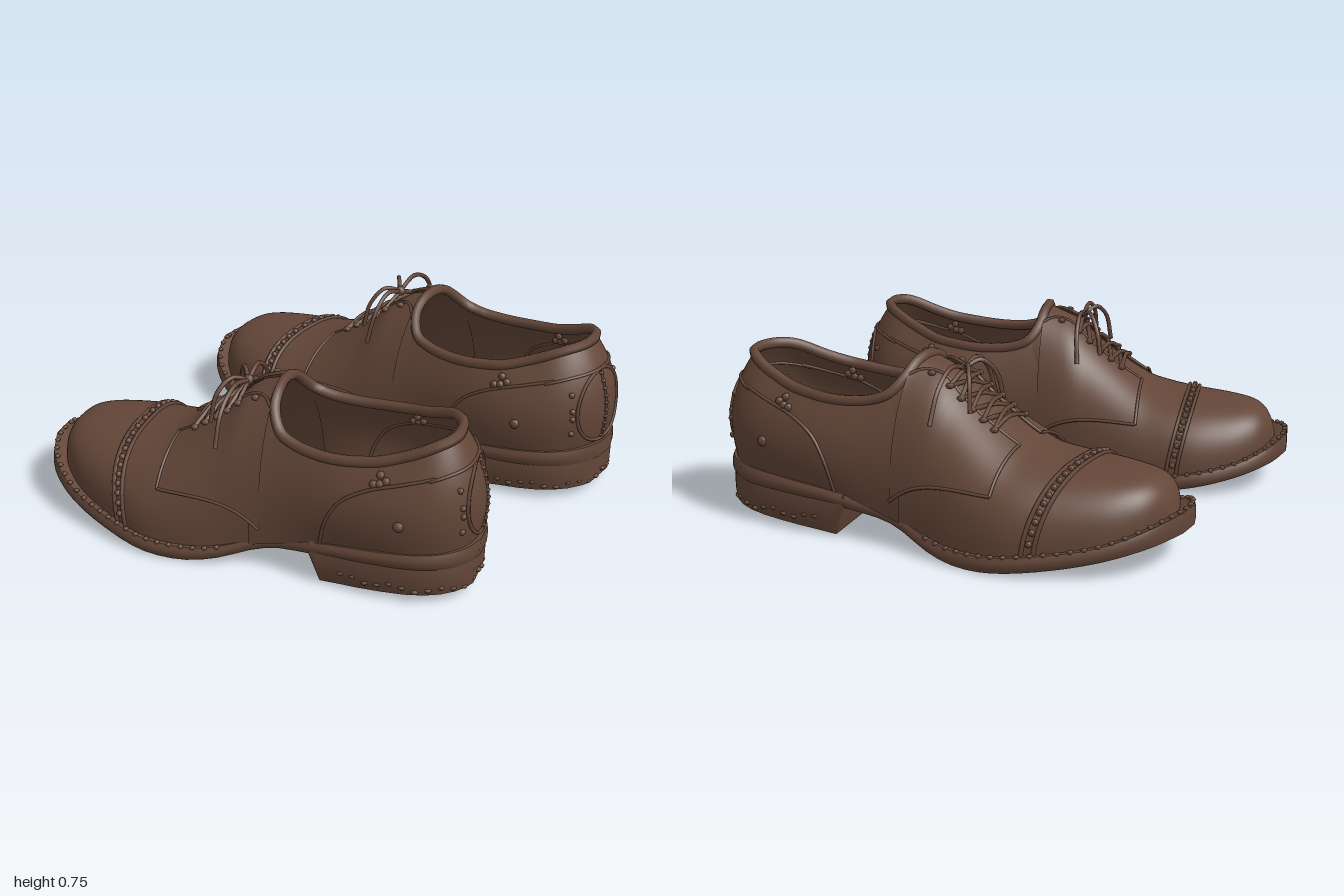
import * as THREE from 'three';
import { mergeGeometries, toCreasedNormals } from 'three/addons/utils/BufferGeometryUtils.js';

const V = (x, y, z) => new THREE.Vector3(x, y, z);
const PI = Math.PI;

// Footprint of one shoe: z, inner edge x, outer edge x
const OUTLINE = [[-1, .42, .56], [-.95, .31, .68], [-.88, .24, .76], [-.78, .185, .83], [-.6, .135, .91],
  [-.4, .14, .97], [-.2, .18, .965], [0, .23, .935], [.2, .28, .92], [.4, .31, .925], [.6, .33, .935],
  [.78, .38, .925], [.9, .45, .88], [.97, .54, .81], [1, .62, .74]];
const SOLE_TOP = [[-1, .23], [-.8, .145], [-.6, .1], [-.3, .065], [-.1, .075], [.1, .135], [.35, .19], [.6, .22], [1, .25]];
const SOLE_BOTTOM = [[-1, .145], [-.75, .07], [-.5, .022], [-.25, 0], [-.08, .025], [.1, .085], [.3, .125], [.45, .15], [1, .175]];
const RIDGE = [[-.945, .2], [-.93, .26], [-.9, .31], [-.85, .343], [-.75, .36], [-.55, .375], [-.45, .39], [-.35, .42],
  [-.2, .52], [-.1, .6], [-.02, .675], [.05, .705], [.12, .735]];
const COLLAR = [[.1, .65], [.17, .61], [.25, .58], [.4, .57], [.6, .595], [.8, .64], [.94, .685], [1, .695]];
const COLLAR_INSET = [[.1, .15], [.2, .09], [.4, .05], [.6, .06], [.8, .09], [1, .095]];

// Smooth interpolation through a small table
function at(table, z, col = 1) {
  const n = table.length - 1;
  z = THREE.MathUtils.clamp(z, table[0][0], table[n][0]);
  let i = 0;
  while (i < n - 1 && z > table[i + 1][0]) i++;
  const slope = k => {
    const a = table[Math.max(k - 1, 0)], b = table[Math.min(k + 1, n)];
    return (b[col] - a[col]) / (b[0] - a[0]);
  };
  const p = table[i], q = table[i + 1], d = q[0] - p[0], t = (z - p[0]) / d, t2 = t * t, t3 = t2 * t;
  return (2 * t3 - 3 * t2 + 1) * p[col] + (t3 - 2 * t2 + t) * d * slope(i)
    + (3 * t2 - 2 * t3) * q[col] + (t3 - t2) * d * slope(i + 1);
}
const mid = z => (at(OUTLINE, z, 1) + at(OUTLINE, z, 2)) / 2;
const half = z => (at(OUTLINE, z, 2) - at(OUTLINE, z, 1)) / 2;

// Skin over rows of points; solid closes each row into a ring and caps the ends
function loft(rows, solid = false) {
  const m = rows[0].length, pos = rows.flat().flatMap(p => [p.x, p.y, p.z]), idx = [];
  for (let i = 0; i < rows.length - 1; i++) for (let j = 0; j < (solid ? m : m - 1); j++) {
    const k = (j + 1) % m, a = i * m + j, b = i * m + k, c = a + m, d = b + m;
    idx.push(a, b, c, b, d, c);
  }
  const e = (rows.length - 1) * m;
  if (solid) for (let j = 1; j < m - 1; j++) idx.push(0, j + 1, j, e, e + j, e + j + 1);
  const g = new THREE.BufferGeometry();
  g.setAttribute('position', new THREE.Float32BufferAttribute(pos, 3));
  g.setIndex(idx);
  g.computeVertexNormals();
  return g;
}
const range = (n, f) => Array.from({ length: n + 1 }, (_, i) => f(i / n));
const cord = (pts, r, closed = false) => new THREE.TubeGeometry(
  new THREE.CatmullRomCurve3(pts, closed), pts.length * (closed ? 3 : 4), r, 6, closed);
const studs = (pts, r, flat = 1) => mergeGeometries(pts.map(p =>
  new THREE.SphereGeometry(r, 6, 4).scale(1, flat, 1).translate(p.x, p.y, p.z)));

// Point on the vamp: angle 0 is the outer side, PI the inner side; the toe is fuller than the instep
function vamp(z, a, off = 0) {
  const zz = z < -.4 ? -.4 + (z + .4) * (.6 / .545) : z;
  const base = at(SOLE_TOP, z) - .015, c = Math.cos(a);
  const e = THREE.MathUtils.mapLinear(THREE.MathUtils.clamp(z, -.5, -.1), -.5, -.1, .8, .93);
  return V(mid(zz) + Math.sign(c) * Math.pow(Math.abs(c), e) * (half(zz) - .03 + off),
    base + (at(RIDGE, z) - base + off) * Math.pow(Math.max(Math.sin(a), 0), e), z);
}
// Rear end of the vamp, curved like a U around the throat
const throatZ = a => .115 + .07 * Math.cos(a) ** 2;

// Point on the rear quarters, rising from footprint point (x, z); v runs from sole to collar
function quarter(x, z, v, off = 0) {
  const dir = V(mid(z) - x, 0, Math.min(z, .6) - z).normalize();
  const bulge = .005 + .025 * THREE.MathUtils.smoothstep(z, .1, .5);
  const inset = .024 + at(COLLAR_INSET, z) * Math.pow(v, 2.4) - bulge * Math.sin(PI * v) - off;
  const y0 = at(SOLE_TOP, z) - .015;
  return V(x, y0 + (at(COLLAR, z) - y0) * v, z).addScaledVector(dir, inset);
}
const outer = (z, v, off) => quarter(at(OUTLINE, z, 2), z, v, off);
const inner = (z, v, off) => quarter(at(OUTLINE, z, 1), z, v, off);

// Footprint paths: around the heel, and the whole edge
const rearZ = [.07, .12, .2, .3, .4, .5, .6, .7, .78, .85, .9, .94, .97, 1];
const heelPath = new THREE.CatmullRomCurve3([
  ...rearZ.map(z => V(at(OUTLINE, z, 1), 0, z)), ...[...rearZ].reverse().map(z => V(at(OUTLINE, z, 2), 0, z))]);
const edgePath = new THREE.CatmullRomCurve3([
  ...OUTLINE.map(r => V(r[1], 0, r[0])), ...[...OUTLINE].reverse().map(r => V(r[2], 0, r[0]))], true);
const heelPoint = (s, v, off) => { const p = heelPath.getPointAt(s); return quarter(p.x, p.z, v, off); };

function makeShoe(material, mirrored) {
  const shoe = new THREE.Group();
  const add = (name, g, crease = 0) => {
    g.translate(-.585, 0, 0);
    if (mirrored) {
      g.scale(-1, 1, 1);
      const ix = g.index;
      for (let i = 0; i < ix.count; i += 3) {
        const t = ix.getX(i + 1);
        ix.setX(i + 1, ix.getX(i + 2));
        ix.setX(i + 2, t);
      }
    }
    const mesh = new THREE.Mesh(crease ? toCreasedNormals(g, crease) : g, material);
    mesh.name = name;
    shoe.add(mesh);
  };

  // Sole with rounded edge
  const slab = (z, b, t, inset) => {
    const l = at(OUTLINE, z, 1) + inset, r = at(OUTLINE, z, 2) - inset, h = t - b, k = .012;
    return [V(l + k, b, z), V(r - k, b, z), V(r, b + h * .3, z), V(r, b + h * .7, z),
      V(r - k, t, z), V(l + k, t, z), V(l, b + h * .7, z), V(l, b + h * .3, z)];
  };
  add('sole', loft(range(48, t => {
    const z = -Math.cos(PI * t), waist = .035 * Math.exp(-(((z - .15) / .16) ** 2));
    return slab(z, at(SOLE_BOTTOM, z), at(SOLE_TOP, z), waist);
  }), true), .7);

  // Heel block with slanted front, set further back on the inner side
  add('heel', loft([.33, .375, .45, .55, .65, .74, .82, .88, .93, .965, .985].map(z => {
    const ring = slab(z, z < .36 ? .125 : .01 + (z - .375) * .066, .2, .01);
    const back = .19 * Math.max(0, .65 - z);
    ring.forEach(p => { p.z += back * (1 - (p.x - mid(z)) / half(z)); });
    return ring;
  }), true), .7);
  add('heelNails', studs(range(24, s => {
    const p = heelPath.getPointAt(.22 + .6 * s);
    return V(p.x, .068 + .012 * Math.sin(s * 40), p.z).addScaledVector(V(mid(p.z) - p.x, 0, .6 - p.z).normalize(), .018);
  }), .016, .6));

  // Stitching around the welt
  add('weltStitches', studs(range(90, s => {
    const p = edgePath.getPointAt(s * .995);
    return V(p.x, at(SOLE_TOP, p.z), p.z).addScaledVector(V(mid(p.z) - p.x, 0, -p.z * .6).normalize(), .018);
  }).filter(p => p.z < -.05), .013, .7));

  // Vamp and toe
  add('vamp', loft(range(44, t => range(32, s =>
    vamp(-.945 + (throatZ(PI * s) + .945) * Math.pow(t, 1.7), PI * s)))));

  // Rear quarters, collar rim and insole
  add('quarters', loft(range(14, v => range(64, s => heelPoint(s, v)))));
  const throat = [.35, .42, .5, .58, .65].map(k => vamp(throatZ(PI * k), PI * k));
  add('collarRim', cord([...range(28, s => heelPoint(.05 + .9 * s, 1)), ...throat], .023, true));
  add('insole', loft(range(24, t => {
    const z = -.3 + 1.25 * Math.sin(t * PI / 2), y = at(SOLE_TOP, z) + .012;
    return [V(at(OUTLINE, z, 2) - .04, y, z), V(at(OUTLINE, z, 1) + .04, y, z)];
  })));

  // Toe cap seam with studs between two cords
  const seam = (z, a) => z - .06 * Math.sin(a);
  for (const z of [-.485, -.53]) add('toeCapSeam', cord(range(20, s => vamp(seam(z, PI * s), PI * s, .003)), .009));
  add('toeCapStuds', studs(range(24, s => vamp(seam(-.508, PI * s), PI * s, .005)), .014));

  // Lace facings on both sides of the tongue
  const GAP = [[-.33, .075], [-.1, .09], [0, .08], [.06, .095], [.115, .15]];
  const LOW = [[-.34, .27], [-.1, .28], [.03, .25], [.115, .2]];
  const facing = (z, s, side) => {
    const base = at(SOLE_TOP, z), top = PI / 2 - Math.asin(at(GAP, z) / half(z));
    const low = Math.asin(Math.min(.9, (at(LOW, z) - base) / (at(RIDGE, z) - base)));
    const a = low + (top - low) * s;
    return vamp(z, side > 0 ? a : PI - a, .014);
  };
  for (const side of [1, -1]) {
    add('laceFacing', loft(range(16, t => range(12, s => facing(-.34 + .455 * t, side > 0 ? s : 1 - s, side)))));
    for (const s of [0, 1]) add('facingEdge', cord(range(10, t => facing(-.34 + .455 * t, s, side)), .007));
    add('facingFrontEdge', cord(range(8, s => facing(-.34, s, side)), .007));
  }

  // Eyelets and crossed laces
  const rows = [-.25, -.2, -.15, -.1, -.05];
  const hole = (z, side, off = .024) => {
    const k = Math.acos(.11 / half(z));
    return vamp(z, side > 0 ? k : PI - k, off);
  };
  add('eyelets', studs([...rows, .03].flatMap(z => [hole(z, 1), hole(z, -1)]), .018, .7));
  rows.forEach((z, i) => {
    const next = rows[i + 1];
    if (next === undefined || i === 0) add('lace', cord([hole(z, 1), vamp(z, PI / 2, .035), hole(z, -1)], .01));
    if (next !== undefined) for (const s of [1, -1])
      add('lace', cord([hole(z, s), vamp((z + next) / 2, PI / 2, .025 + s * .006), hole(next, -s)], .01));
  });

  // Bow with loose ends
  const knot = vamp(-.05, PI / 2, .045);
  add('laceKnot', studs([knot], .024));
  const from = (...d) => [knot, ...d.map(q => V(knot.x + q[0], knot.y + q[1], knot.z + q[2]))];
  [from([.12, .03, -.01], [.24, -.03, -.02], [.31, -.16, -.02]),
    from([-.1, .025, 0], [-.19, -.04, 0], [-.24, -.17, -.01]),
    from([.06, .03, -.05], [.12, -.02, -.09], [.15, -.14, -.11]),
    from([-.06, .025, -.04], [-.12, -.04, -.08], [-.14, -.15, -.1])].forEach(p => add('laceEnd', cord(p, .01)));

  // Heel counter: side seams, rear patch, stitches and rivets
  for (const f of [outer, inner])
    add('counterSeam', cord([f(.38, .04, .002), f(.41, .35, .002), f(.47, .6, .002), f(.58, .74, .002),
      f(.74, .78, .002), f(.88, .78, .002)], .007));
  add('counterTopSeam', cord(range(14, s => heelPoint(.36 + .28 * s, .77, .002)), .007));
  add('heelPatch', cord(range(24, s => heelPoint(.5 + .075 * Math.cos(2 * PI * s), .41 + .36 * Math.sin(2 * PI * s), .002)).slice(0, -1), .008, true));
  add('backSeam', cord(range(10, s => heelPoint(.5, .05 + .7 * s, .002)), .006));
  add('backStitches', studs(range(9, s => heelPoint(.5, .08 + .65 * s)), .014, .6));
  add('patchStuds', studs([-1, 1].flatMap(s => [.22, .38, .46, .62].map(v => heelPoint(.5 + s * .085, v))), .014));
  for (const f of [outer, inner]) {
    add('rivet', studs([f(.72, .37, -.008)], .025));
    add('collarTab', studs([f(.6, .8), f(.63, .8), f(.66, .82), f(.63, .88)], .018));
  }
  return shoe;
}

export function createModel() {
  const leather = new THREE.MeshStandardMaterial({ color: 0x634638 });
  leather.name = 'brown leather';
  leather.side = THREE.DoubleSide;
  const model = new THREE.Group();
  model.name = 'pairOfShoes';
  const left = makeShoe(leather, false), right = makeShoe(leather, true);
  left.name = 'leftShoe';
  left.position.x = .588;
  right.name = 'rightShoe';
  right.position.set(-.473, 0, -.005);
  right.rotation.y = .305;
  model.add(left, right);
  return model;
}
